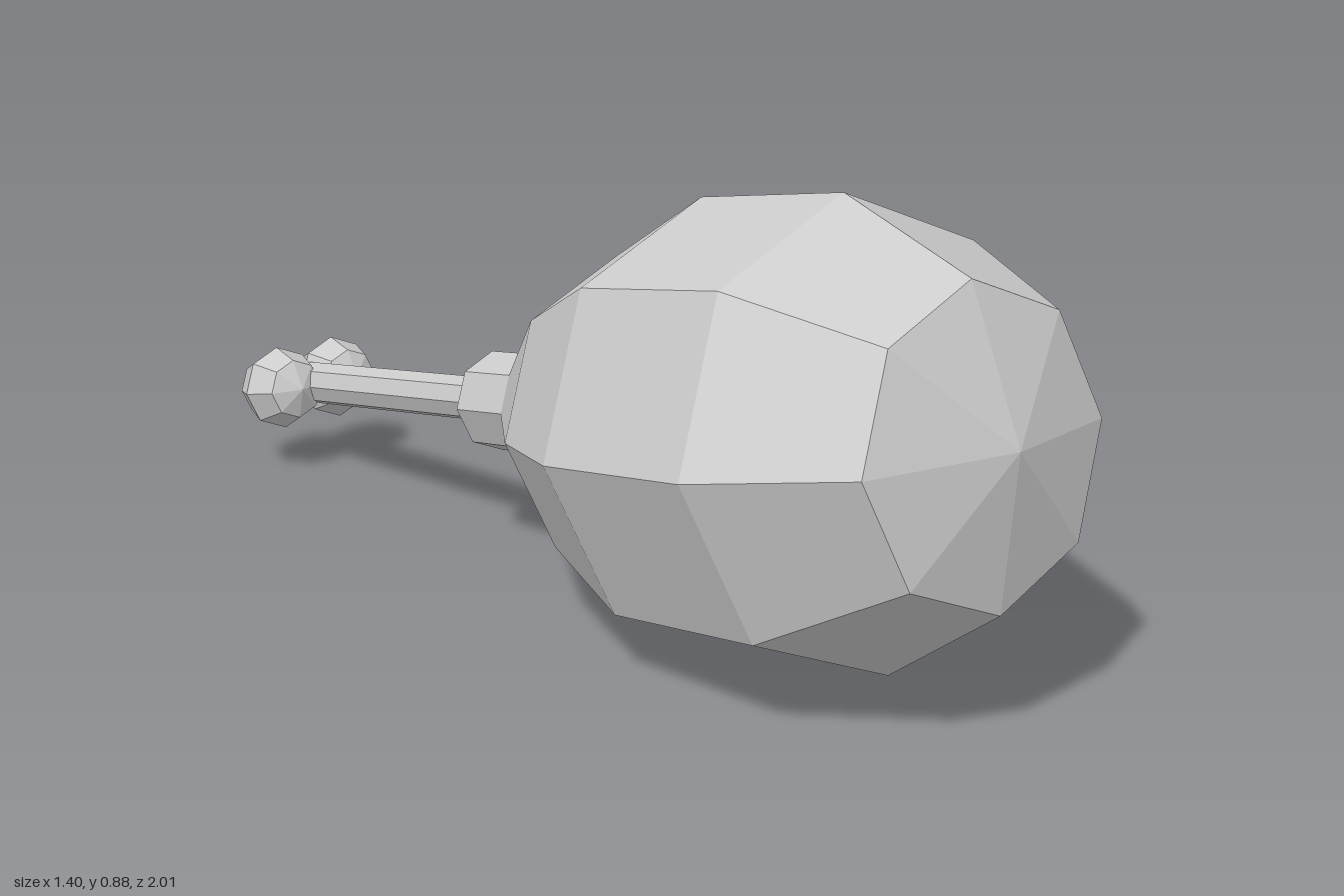
import * as THREE from 'three';

const SIDES = 8;
const material = new THREE.MeshStandardMaterial({ color: 0xcccccc, flatShading: true });

// Turned part along the z axis; profile is a list of [radius, z] from back to front
function turned(name, profile) {
  const points = profile.map(([r, z]) => new THREE.Vector2(r, z));
  const geometry = new THREE.LatheGeometry(points, SIDES).rotateX(Math.PI / 2);
  const mesh = new THREE.Mesh(geometry, material);
  mesh.name = name;
  return mesh;
}

export function createModel() {
  const model = new THREE.Group();
  model.name = 'drumstick';

  // The leg lies along its own z axis, with the tip of the meat at its origin
  const leg = new THREE.Group();
  leg.name = 'leg';
  leg.rotation.set(THREE.MathUtils.degToRad(-9.3), Math.PI / 6, 0, 'YXZ');
  leg.position.set(0.49, 0.526, 0.925);
  model.add(leg);

  // Faceted meat
  leg.add(turned('meat', [
    [0, -1.28], [0.095, -1.28], [0.298, -0.99], [0.409, -0.728],
    [0.417, -0.357], [0.278, -0.076], [0, 0],
  ]));

  // Collar where the meat meets the bone
  leg.add(turned('collar', [[0, -1.42], [0.1, -1.42], [0.1, -1.25], [0, -1.25]]));

  // Thin bone shaft
  leg.add(turned('bone', [[0, -2.12], [0.045, -2.12], [0.045, -1.38], [0, -1.38]]));

  // Pair of knobs at the end of the bone
  for (const side of [-1, 1]) {
    const geometry = new THREE.SphereGeometry(0.088, SIDES, 4).rotateX(Math.PI / 2);
    const knob = new THREE.Mesh(geometry, material);
    knob.name = side > 0 ? 'leftKnob' : 'rightKnob';
    knob.position.set(side * 0.07, 0, -2.124);
    leg.add(knob);
  }

  return model;
}
